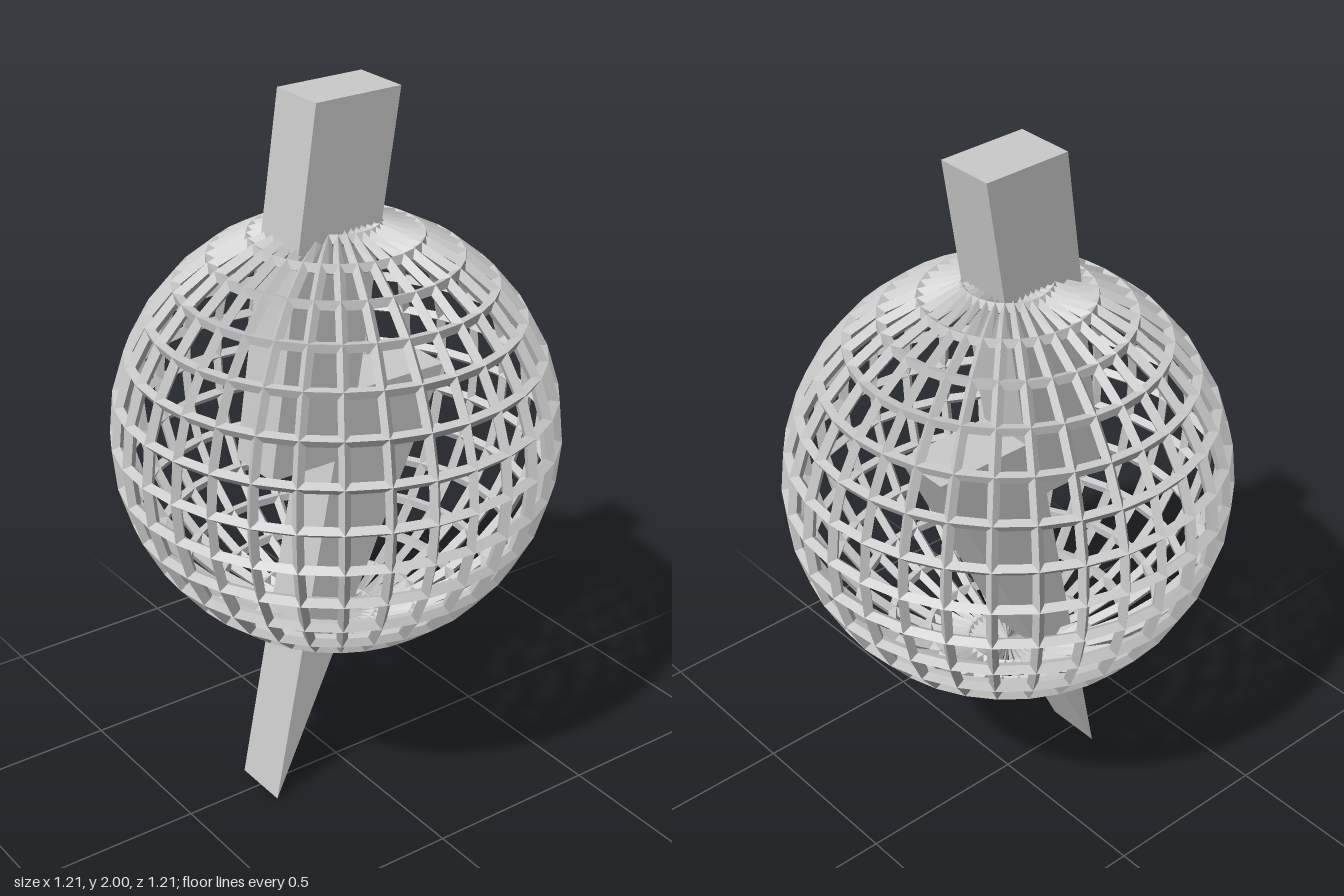
import * as THREE from 'three';

const material = new THREE.MeshStandardMaterial({ color: 0xcccccc, flatShading: true });

// Globe lattice: every edge of a latitude/longitude sphere becomes a strut with a diamond section
function latticeGeometry(radius, depth, inset, segments, rings) {
  const positions = [];
  const point = (i, j, r) => {
    const phi = (i / segments) * Math.PI * 2;
    const theta = (j / rings) * Math.PI;
    return new THREE.Vector3(
      r * Math.sin(theta) * Math.sin(phi), r * Math.cos(theta), r * Math.sin(theta) * Math.cos(phi));
  };
  const triangle = (a, b, c) => {
    const area = b.clone().sub(a).cross(c.clone().sub(a)).length();
    if (area > 1e-9) [a, b, c].forEach(p => positions.push(p.x, p.y, p.z));
  };
  const quad = (a, b, c, d) => { triangle(a, b, c); triangle(a, c, d); };

  for (let j = 0; j < rings; j++) {
    for (let i = 0; i < segments; i++) {
      // cell corners, counter-clockwise from outside
      const cell = [[i, j], [i, j + 1], [i + 1, j + 1], [i + 1, j]];
      const [ul, ll, lr, ur] = cell.map(([a, b]) => point(a, b, radius));
      const outer = cell.map(([a, b]) => point(a, b, radius + depth));
      const inner = cell.map(([a, b]) => point(a, b, radius - depth));

      // corners of the opening
      const fv = inset / ul.distanceTo(ll);
      const row = v => {
        const left = ul.clone().lerp(ll, v);
        const right = ur.clone().lerp(lr, v);
        const fu = Math.min(0.45, inset / left.distanceTo(right));
        return [left.clone().lerp(right, fu), left.clone().lerp(right, 1 - fu)];
      };
      const [a, d] = row(fv);
      const [b, c] = row(1 - fv);
      const hole = [a, b, c, d];

      for (let k = 0; k < 4; k++) {
        const n = (k + 1) % 4;
        quad(outer[k], outer[n], hole[n], hole[k]);
        quad(inner[n], inner[k], hole[k], hole[n]);
      }
    }
  }
  const geometry = new THREE.BufferGeometry();
  geometry.setAttribute('position', new THREE.Float32BufferAttribute(positions, 3));
  geometry.computeVertexNormals();
  return geometry;
}

// Lightning bolt: side profile as (z, y), extruded across x
function boltGeometry(width) {
  const profile = [
    [0.12, 2], [0.265, 1.01], [0.065, 1.01], [0.265, 0],
    [-0.3, 1.2], [-0.01, 1.2], [-0.14, 2],
  ];
  const shape = new THREE.Shape(profile.map(([z, y]) => new THREE.Vector2(z, y)));
  const geometry = new THREE.ExtrudeGeometry(shape, { depth: width, bevelEnabled: false });
  geometry.translate(0, 0, -width / 2);
  geometry.rotateY(-Math.PI / 2);
  return geometry;
}

export function createModel() {
  const model = new THREE.Group();
  model.name = 'globeWithBolt';

  const globe = new THREE.Mesh(latticeGeometry(0.588, 0.018, 0.015, 32, 16), material);
  globe.name = 'globeLattice';
  globe.position.y = 1.06;

  const bolt = new THREE.Mesh(boltGeometry(0.168), material);
  bolt.name = 'lightningBolt';

  model.add(globe, bolt);
  return model;
}
